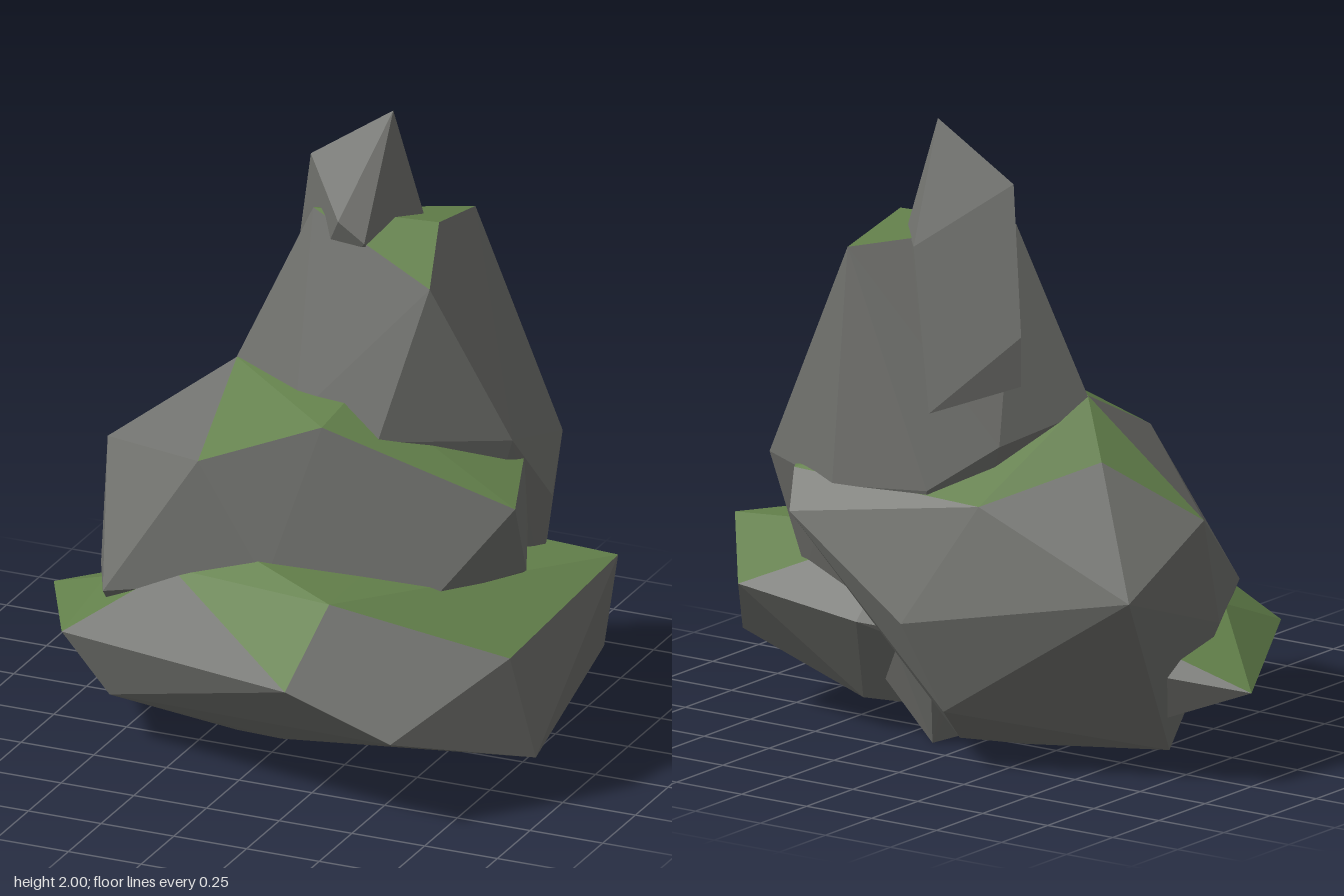
import * as THREE from 'three';
import { ConvexGeometry } from 'three/addons/geometries/ConvexGeometry.js';

// Facets that point up at least this much carry moss
const MOSS_SLOPE = 0.74;

// Faceted boulder from its corner points: group 0 is bare stone, group 1 is moss
function boulder(name, corners, materials) {
  const hull = new ConvexGeometry(corners.map((c) => new THREE.Vector3(...c)));
  const pos = hull.attributes.position;
  const stone = [], moss = [];
  const tri = new THREE.Triangle(), normal = new THREE.Vector3();
  for (let i = 0; i < pos.count; i += 3) {
    tri.setFromAttributeAndIndices(pos, i, i + 1, i + 2);
    tri.getNormal(normal);
    const list = normal.y > MOSS_SLOPE ? moss : stone;
    for (const p of [tri.a, tri.b, tri.c]) list.push(p.x, p.y, p.z);
  }
  const geo = new THREE.BufferGeometry();
  geo.setAttribute('position', new THREE.Float32BufferAttribute([...stone, ...moss], 3));
  geo.addGroup(0, stone.length / 3, 0);
  geo.addGroup(stone.length / 3, moss.length / 3, 1);
  geo.computeVertexNormals();
  const mesh = new THREE.Mesh(geo, materials);
  mesh.name = name;
  return mesh;
}

export function createModel() {
  const stone = new THREE.MeshStandardMaterial({ color: 0x70716d });
  stone.name = 'grey stone';
  const moss = new THREE.MeshStandardMaterial({ color: 0x627f4a });
  moss.name = 'green moss';
  const materials = [stone, moss];

  const group = new THREE.Group();
  group.name = 'rockStack';

  // Wide slab at the foot, pushed to the front
  group.add(boulder('baseBoulder', [
    // upper rim
    [-0.93, 0.27, -0.15], [-0.66, 0.35, 0.39], [0.26, 0.43, 0.73], [0.85, 0.49, 0.32],
    [0.93, 0.61, -0.33], [0.74, 0.46, -0.58], [0.3, 0.4, -0.56],
    // top
    [0.3, 0.64, 0.48], [-0.05, 0.66, 0.28], [-0.33, 0.58, 0.28], [-0.62, 0.45, 0.14], [0.3, 0.65, -0.3],
    // underside
    [0.6, 0.29, 0.68], [0.93, 0.16, 0.3], [0.85, 0.26, -0.4], [-0.5, 0.16, 0.38],
    [0.1, 0.12, 0.4], [0.52, 0.05, 0.0], [-0.17, 0.005, 0.14], [0.4, 0.1, -0.38], [-0.5, 0.1, -0.2],
  ], materials));

  // Middle boulder, bulging to the back
  group.add(boulder('middleBoulder', [
    // front face
    [-0.55, 0.48, 0.32], [-0.25, 0.95, 0.26], [0.14, 1.1, 0.18], [0.76, 0.89, 0.08],
    [0.74, 0.63, -0.05], [0.54, 0.6, 0.2], [0.0, 0.6, 0.3],
    // top and shoulders
    [-0.3, 1.14, -0.15], [0.17, 1.16, -0.03], [0.68, 0.97, -0.17], [-0.74, 0.8, -0.14], [-0.46, 0.98, -0.3],
    // back
    [-0.75, 0.62, -0.56], [-0.2, 0.86, -0.6], [0.51, 0.88, -0.6], [0.45, 0.77, -0.71],
    [0.0, 0.48, -0.74], [-0.1, 0.19, -0.65], [-0.7, 0.43, 0.0],
    // underside
    [-0.6, 0.03, -0.13], [-0.17, 0.02, -0.3], [0.0, 0.04, -0.42],
  ], materials));

  // Tall upper boulder, a core that tapers down to the ground
  group.add(boulder('upperBoulder', [
    // crown
    [-0.06, 1.67, -0.2], [0.35, 1.67, -0.25], [0.43, 1.55, 0], [0.34, 1.61, -0.55],
    // girth
    [-0.32, 1.1, -0.15], [-0.02, 1.05, 0.03], [0.3, 1.05, 0.11], [0.67, 1.04, -0.1],
    [0.73, 0.8, -0.27], [0.64, 0.9, -0.55], [0.35, 0.85, -0.62], [0, 0.88, -0.6], [-0.18, 1.02, -0.46],
    // waist
    [0.68, 0.5, -0.3], [0.58, 0.5, -0.44],
    // foot
    [0.06, 0, -0.02], [0.36, 0, -0.15], [0.12, 0, -0.4],
  ], materials));

  // Pointed shard at the summit, running down the back
  group.add(boulder('summitShard', [
    [0.17, 2.0, -0.3], [-0.1, 1.82, -0.27], [0.16, 1.62, -0.1], [0.07, 1.68, -0.1],
    [-0.2, 1.36, -0.37], [-0.2, 1.2, -0.37], [0.26, 1.64, -0.34], [0.15, 1.62, -0.46],
    [0.02, 1.12, -0.56], [0.2, 1.3, -0.3], [0, 1.45, -0.28], [-0.13, 1.63, -0.3],
  ], materials));

  return group;
}
